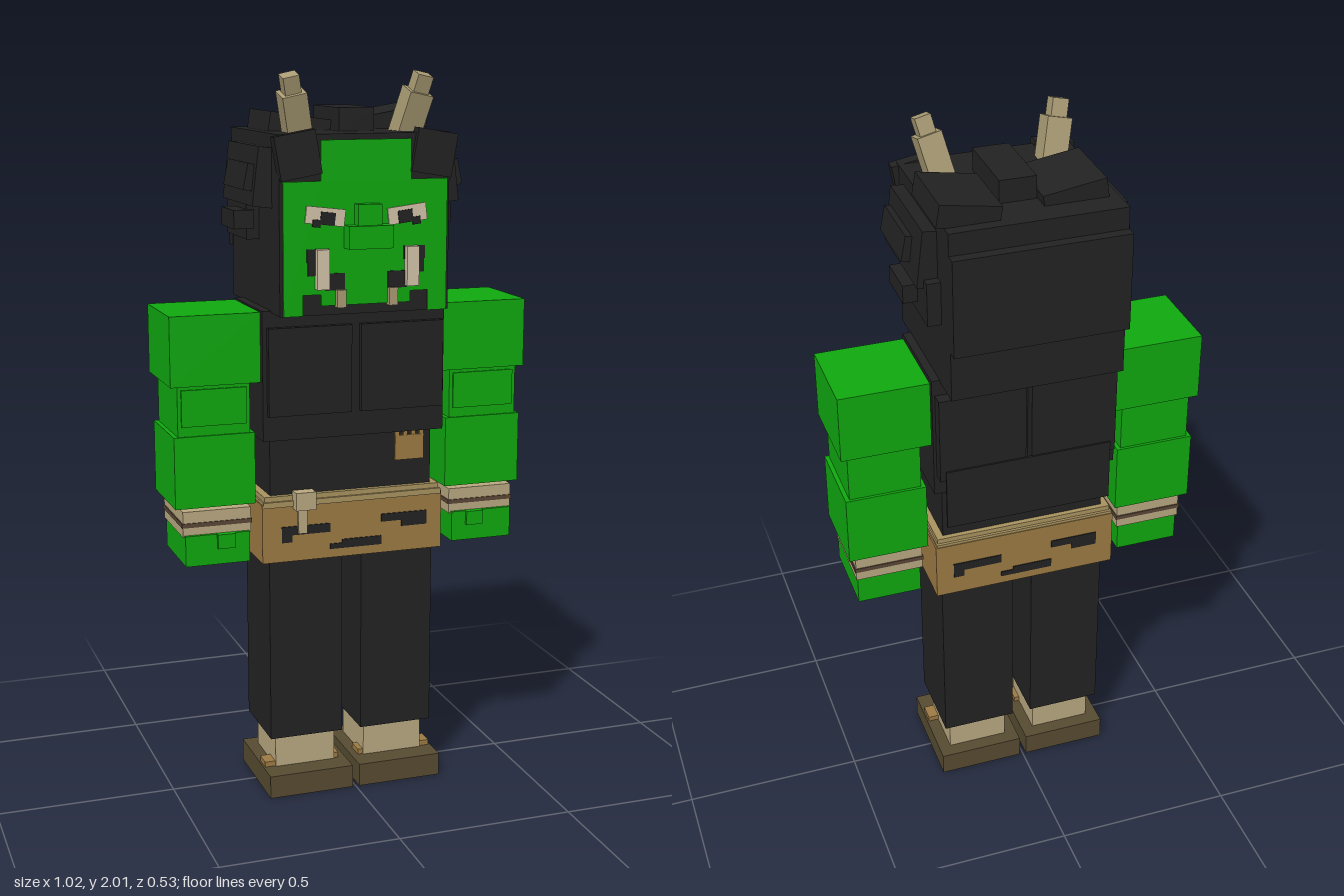
import * as THREE from 'three';

const mat = (name, color) => Object.assign(new THREE.MeshStandardMaterial({ color }), { name });

export function createModel() {
  const model = new THREE.Group();
  model.name = 'hornedFigure';

  const green = mat('greenSkin', 0x0fa80f);
  const black = mat('blackCloth', 0x222222);
  const tan = mat('tanLeather', 0x9c7a44);
  const belt = mat('paleBelt', 0xa8925f);
  const cream = mat('creamWrap', 0xb9a880);
  const bone = mat('bone', 0xa99b74);
  const tooth = mat('toothWhite', 0xd2c3a8);
  const sole = mat('brownSole', 0x564a31);
  const stripe = mat('darkStripe', 0x5a4636);

  // Box from its extents, optionally tilted about its centre
  function box(name, material, [x0, x1], [y0, y1], [z0, z1], rot = [0, 0, 0]) {
    const mesh = new THREE.Mesh(new THREE.BoxGeometry(x1 - x0, y1 - y0, z1 - z0), material);
    mesh.name = name;
    mesh.position.set((x0 + x1) / 2, (y0 + y1) / 2, (z0 + z1) / 2);
    mesh.rotation.set(...rot);
    model.add(mesh);
    return mesh;
  }
  // The same box on both sides
  function pair(name, material, [x0, x1], y, z, [rx, ry, rz] = [0, 0, 0]) {
    box(name + 'Left', material, [x0, x1], y, z, [rx, ry, rz]);
    box(name + 'Right', material, [-x1, -x0], y, z, [rx, -ry, -rz]);
  }

  // Feet and legs
  pair('sole', sole, [0.01, 0.255], [0, 0.065], [-0.135, 0.15]);
  pair('shoeStrap', tan, [0.03, 0.25], [0.06, 0.08], [0.03, 0.08]);
  pair('ankleWrap', cream, [0.045, 0.22], [0.06, 0.165], [-0.095, 0.085]);
  pair('leg', black, [0.028, 0.24], [0.16, 0.7], [-0.12, 0.108]);

  // Hips, belt and buckle
  box('hips', tan, [-0.265, 0.26], [0.685, 0.85], [-0.14, 0.128]);
  box('belt', belt, [-0.258, 0.252], [0.84, 0.872], [-0.13, 0.125]);
  box('beltBand', belt, [-0.262, 0.256], [0.842, 0.858], [-0.138, 0.132]);
  box('buckle', cream, [-0.177, -0.12], [0.835, 0.885], [0.12, 0.158]);
  box('buckleStrap', cream, [-0.165, -0.14], [0.765, 0.84], [0.125, 0.14]);
  // Torn patches on the hip cloth, front and back
  const patches = [
    [-0.21, -0.07, 0.76, 0.785], [-0.21, -0.18, 0.74, 0.765],
    [-0.07, 0.08, 0.71, 0.725], [-0.035, 0.08, 0.72, 0.735],
    [0.08, 0.215, 0.775, 0.797], [0.14, 0.215, 0.757, 0.778],
  ];
  for (const [x0, x1, y0, y1] of patches) {
    box('frontPatch', black, [x0, x1], [y0, y1], [0.125, 0.131]);
    box('backPatch', black, [-x1, -x0], [y0, y1], [-0.143, -0.137]);
  }

  // Torso
  box('waist', black, [-0.237, 0.232], [0.865, 1.04], [-0.115, 0.11]);
  box('chest', black, [-0.262, 0.258], [1.03, 1.385], [-0.135, 0.135]);
  box('pecRight', black, [-0.25, -0.015], [1.1, 1.34], [0.12, 0.153]);
  box('pecLeft', black, [0.012, 0.25], [1.1, 1.34], [0.12, 0.153]);
  pair('shoulderBlade', black, [0.008, 0.25], [1.09, 1.34], [-0.17, -0.12]);
  box('shirtBack', black, [-0.235, 0.235], [0.94, 1.12], [-0.175, -0.168]);
  box('chestPatch', tan, [0.125, 0.21], [0.945, 1.015], [0.108, 0.117]);
  for (let i = 0; i < 4; i++) {
    box('patchStitch', tan, [0.125 + i * 0.024, 0.138 + i * 0.024], [1.01, 1.028], [0.108, 0.116]);
  }

  // Arms
  pair('shoulder', green, [0.262, 0.51], [1.19, 1.38], [-0.135, 0.115]);
  pair('upperArm', green, [0.29, 0.49], [1.04, 1.2], [-0.118, 0.105]);
  pair('elbowPad', green, [0.3, 0.48], [1.08, 1.18], [-0.1, 0.11]);
  pair('forearm', green, [0.278, 0.502], [0.855, 1.053], [-0.126, 0.11]);
  pair('wristWrap', cream, [0.292, 0.482], [0.775, 0.846], [-0.11, 0.108]);
  pair('wristStripe', stripe, [0.289, 0.485], [0.802, 0.814], [-0.113, 0.111]);
  pair('hand', green, [0.298, 0.478], [0.695, 0.78], [-0.105, 0.118]);
  pair('thumb', green, [0.34, 0.39], [0.74, 0.78], [0.11, 0.128]);

  // Head
  box('head', black, [-0.237, 0.235], [1.38, 1.85], [-0.237, 0.215]);
  box('hairBack', black, [-0.238, 0.235], [1.52, 1.79], [-0.266, -0.23]);

  // Face plate with a stepped outline along hairline and beard
  const half = [
    [0.125, 1.835], [0.125, 1.73], [0.228, 1.73], [0.228, 1.38], [0.175, 1.38],
    [0.175, 1.435], [0.125, 1.435], [0.125, 1.405],
  ];
  const outline = [...half, ...half.map(([x, y]) => [-x, y]).reverse()];
  const face = new THREE.Mesh(
    new THREE.ExtrudeGeometry(new THREE.Shape(outline.map(([x, y]) => new THREE.Vector2(x, y))),
      { depth: 0.009, bevelEnabled: false }), green);
  face.name = 'face';
  face.position.z = 0.211;
  model.add(face);

  // Eyes, nose, mouth corners and tusks
  pair('eye', tooth, [0.06, 0.168], [1.617, 1.662], [0.218, 0.224], [0, 0, 0.12]);
  pair('pupil', black, [0.088, 0.128], [1.617, 1.65], [0.222, 0.227], [0, 0, 0.12]);
  pair('eyeCorner', black, [0.128, 0.15], [1.612, 1.632], [0.222, 0.227], [0, 0, 0.12]);
  box('noseBridge', green, [-0.033, 0.033], [1.615, 1.67], [0.21, 0.252]);
  box('noseTip', green, [-0.062, 0.06], [1.555, 1.615], [0.21, 0.264]);
  pair('mouthCorner', black, [0.105, 0.165], [1.52, 1.555], [0.216, 0.223]);
  pair('mouthSide', black, [0.135, 0.162], [1.485, 1.525], [0.216, 0.223]);
  pair('lowerLip', black, [0.06, 0.115], [1.445, 1.49], [0.216, 0.223]);
  pair('longTusk', tooth, [0.108, 0.142], [1.45, 1.555], [0.21, 0.241]);
  pair('shortTusk', bone, [0.06, 0.085], [1.4, 1.447], [0.21, 0.235]);

  // Forelocks and side hair
  pair('forelock', black, [0.132, 0.245], [1.74, 1.855], [0.195, 0.229], [0, 0, -0.17]);
  pair('sideHairUpper', black, [0.225, 0.281], [1.66, 1.815], [-0.14, 0.15], [0, 0, 0.12]);
  pair('sideTuftUpper', black, [0.25, 0.302], [1.7, 1.77], [-0.065, 0.13], [0, 0, 0.2]);
  pair('sideHairLower', black, [0.225, 0.272], [1.565, 1.685], [-0.165, 0.03]);
  pair('sideTuftLower', black, [0.255, 0.311], [1.595, 1.645], [-0.08, 0.045]);

  // Hair tufts on the crown
  box('crownTuftMiddle', black, [-0.035, 0.064], [1.84, 1.912], [-0.115, 0.1]);
  box('crownTuftRight', black, [-0.208, -0.037], [1.835, 1.89], [-0.165, 0.035], [0, 0, -0.15]);
  box('crownTuftLeft', black, [0.088, 0.252], [1.84, 1.9], [-0.205, 0.002], [0, 0, 0.17]);

  // Horns lean outwards and forwards
  for (const [side, label] of [[1, 'Left'], [-1, 'Right']]) {
    const horn = new THREE.Group();
    horn.name = 'horn' + label;
    const parts = [['hornBase', 0.067, 0.13, 0.065], ['hornTip', 0.044, 0.055, 0.15]];
    for (const [name, width, height, y] of parts) {
      const mesh = new THREE.Mesh(new THREE.BoxGeometry(width, height, width), bone);
      mesh.name = name;
      mesh.position.y = y;
      horn.add(mesh);
    }
    horn.position.set(side * 0.148, 1.832, 0.098);
    horn.rotation.set(0.27, 0, -side * 0.22);
    model.add(horn);
  }
  return model;
}
